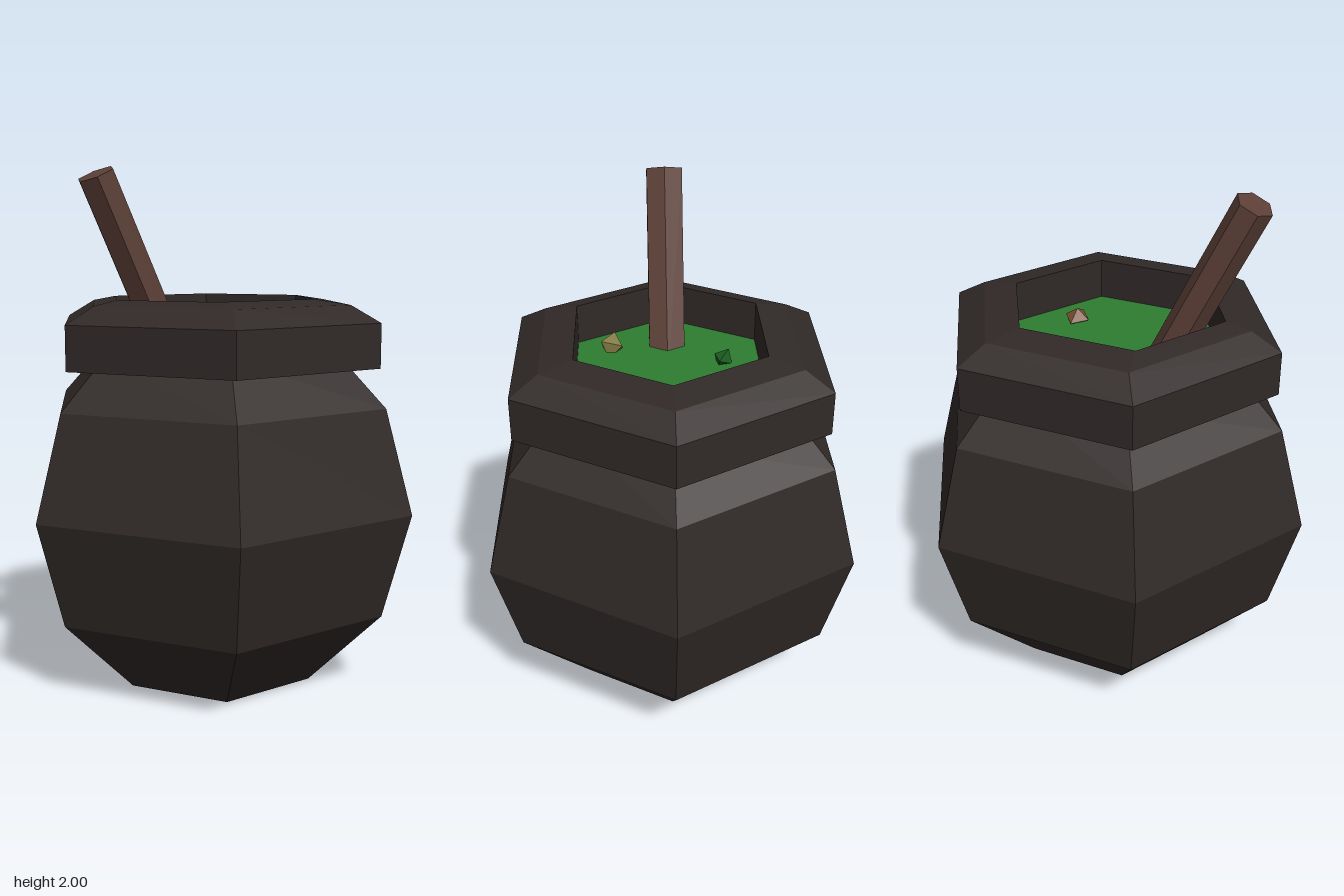
import * as THREE from 'three';

const material = (color) => new THREE.MeshStandardMaterial({ color, flatShading: true });

function addPart(group, name, geometry, mat) {
  const mesh = new THREE.Mesh(geometry, mat);
  mesh.name = name;
  group.add(mesh);
  return mesh;
}

// Six-sided turned shape with a corner facing the front
const hexLathe = (profile) =>
  new THREE.LatheGeometry(profile.map(([r, y]) => new THREE.Vector2(r, y)), 6);

export function createModel() {
  const model = new THREE.Group();
  model.name = 'cauldron';
  const iron = material(0x302927);

  // Bulging pot body with a closed base
  addPart(model, 'potBody', hexLathe([
    [0, 0], [0.405, 0], [0.7, 0.3], [0.81, 0.71], [0.7, 1.11], [0.5, 1.315],
  ]), iron);

  // Chamfered collar; its opening is drawn slightly towards the front
  const rim = hexLathe([
    [0.5, 1.26], [0.675, 1.26], [0.675, 1.43], [0.555, 1.495], [0.41, 1.515], [0.41, 1.33],
  ]);
  const p = rim.attributes.position;
  for (let i = 0; i < p.count; i++) {
    const r = Math.hypot(p.getX(i), p.getZ(i));
    if (r < 0.42 && p.getZ(i) > 0.01) p.setZ(i, p.getZ(i) + 0.045);
  }
  addPart(model, 'rim', rim, iron);

  // Liquid surface
  const liquid = addPart(model, 'liquid',
    new THREE.CylinderGeometry(0.5, 0.5, 0.02, 6), material(0x2e7d32));
  liquid.position.y = 1.345;

  // Stirring stick leaning to the front
  const length = 0.85;
  const lean = 0.447;
  const stick = addPart(model, 'stirringStick',
    new THREE.CylinderGeometry(0.072, 0.072, length, 6), material(0x5d4037));
  stick.scale.x = 1.12;
  stick.rotation.x = lean;
  stick.position.set(0, 1.97 - Math.cos(lean) * length / 2, 0.537 - Math.sin(lean) * length / 2);

  // Floating chunks: name, colour, position, size, rotation
  const chunks = [
    ['brownChunk', 0x795030, [0.11, 1.365, -0.2], [0.06, 0.04, 0.05], [0.1, 0, 0.1]],
    ['greenChunk', 0x1b5e20, [-0.215, 1.365, 0.07], [0.04, 0.045, 0.065], [0.3, -0.3, 0.5]],
    ['paleChunk', 0x827a45, [0.22, 1.37, 0.19], [0.06, 0.055, 0.06], [0.4, 0.75, 0.3]],
  ];
  for (const [name, color, position, size, rotation] of chunks) {
    const chunk = addPart(model, name, new THREE.OctahedronGeometry(1), material(color));
    chunk.position.set(...position);
    chunk.scale.set(...size);
    chunk.rotation.set(...rotation);
  }

  return model;
}
